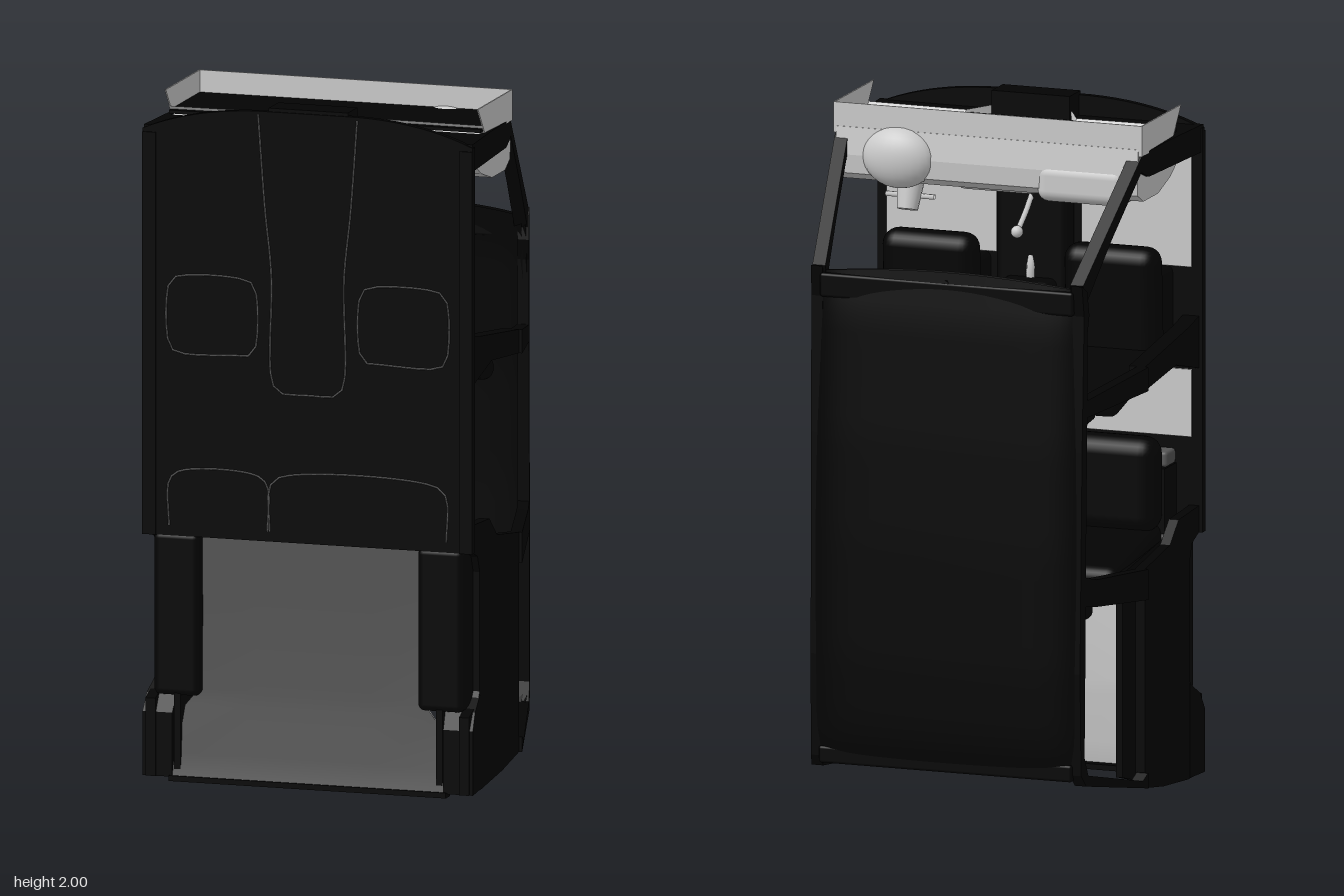
import * as THREE from 'three';
import { RoundedBoxGeometry } from 'three/addons/geometries/RoundedBoxGeometry.js';

const paint = color => new THREE.MeshStandardMaterial({ color, side: THREE.DoubleSide });
const black = paint(0x030303), dark = paint(0x555555), grey = paint(0xcccccc);

export function createModel() {
  const model = new THREE.Group();

  const add = (name, geo, mat = black) => {
    const m = new THREE.Mesh(geo, mat);
    m.name = name;
    model.add(m);
    return m;
  };
  // Box given by its limits, with optional rounding
  const box = (name, x0, x1, y0, y1, z0, z1, mat, r = 0) => {
    const s = [x1 - x0, y1 - y0, z1 - z0];
    const m = add(name, r ? new RoundedBoxGeometry(...s, 3, r) : new THREE.BoxGeometry(...s), mat);
    m.position.set((x0 + x1) / 2, (y0 + y1) / 2, (z0 + z1) / 2);
    return m;
  };
  // Side profile of [z, y] points, thickened inward from x = outer(z)
  const panel = (name, pts, side, outer, thick, mat) => {
    const shape = new THREE.Shape(pts.map(p => new THREE.Vector2(...p)));
    const geo = new THREE.ExtrudeGeometry(shape, { depth: 1, bevelEnabled: false });
    const p = geo.attributes.position;
    for (let i = 0; i < p.count; i++) {
      const z = p.getX(i), t = p.getZ(i);
      p.setXYZ(i, side * (outer(z) - t * thick), p.getY(i), z);
    }
    geo.computeVertexNormals();
    return add(name, geo, mat);
  };
  const rod = (name, pts, r, mat) => add(name, new THREE.TubeGeometry(
    new THREE.CatmullRomCurve3(pts.map(p => new THREE.Vector3(...p)), false, 'centripetal'), 24, r, 6), mat);
  // Piecewise linear lookup
  const lerp = (table, v) => {
    let i = 1;
    while (i < table.length - 1 && v > table[i][0]) i++;
    const [a, b] = [table[i - 1], table[i]];
    return a[1] + (b[1] - a[1]) * (v - a[0]) / (b[0] - a[0]);
  };
  // Narrow a cushion towards its upper (-z) end
  const taper = (mesh, height, amount) => {
    const p = mesh.geometry.attributes.position;
    for (let i = 0; i < p.count; i++)
      p.setX(i, p.getX(i) * (1 - amount * (0.5 - p.getZ(i) / height)));
    return mesh;
  };

  // Roof skin and lining, arched across and along
  const roofLine = [[0.13, -0.365], [0.18, -0.4], [0.25, -0.406], [0.45, -0.41], [0.8, -0.407],
    [1.1, -0.4], [1.45, -0.385], [1.6, -0.37]];
  const roof = (name, lift, w, drop) => {
    const geo = new THREE.PlaneGeometry(2, 1.47, 32, 30);
    const p = geo.attributes.position;
    for (let i = 0; i < p.count; i++) {
      const u = Math.sin(p.getX(i) * Math.PI / 2), y = p.getY(i) + 0.865;
      const front = y > 1.5 ? (y - 1.5) * 0.3 * u * u : 0;
      const z = lerp(roofLine, y) + 0.008 * u * u + drop * Math.pow(Math.abs(u), 9) + lift;
      p.setXYZ(i, -u * w, y - front, z);
    }
    geo.computeVertexNormals();
    add(name, geo);
  };
  roof('roof', 0, 0.418, 0.035);
  roof('roofLining', 0.02, 0.405, 0.015);
  box('windscreenHeader', -0.39, 0.39, 1.5, 1.57, -0.375, -0.353, black, 0.008);
  box('tailgateHeader', -0.39, 0.39, 0.13, 0.18, -0.385, -0.355, black, 0.008);

  // Side structure, mirrored
  const upper = z => 0.5 - 0.08 * Math.max(0, (-0.06 - z) / 0.3);
  const screen = z => 0.472 - 0.055 * (-0.03 - z) / 0.33;
  const lower = () => 0.49;
  for (const s of [-1, 1]) {
    panel('upperSideFrame', [[-0.05, 0.055], [-0.35, 0.115], [-0.375, 0.15], [-0.38, 0.45],
      [-0.37, 1.1], [-0.36, 1.5], [-0.37, 1.59], [-0.345, 1.57], [-0.335, 1.5], [-0.345, 1.44],
      [-0.345, 1.25], [-0.05, 1.295], [-0.05, 1.225], [-0.345, 1.2], [-0.352, 0.73], [-0.3, 0.715],
      [-0.05, 0.7], [-0.05, 0.61], [-0.3, 0.635], [-0.352, 0.645], [-0.358, 0.2], [-0.34, 0.145],
      [-0.08, 0.082], [-0.055, 0.1], [-0.05, 0.1]], s, upper, 0.035);
    panel('windscreenPillar', [[-0.03, 1.91], [-0.2, 1.745], [-0.36, 1.59], [-0.35, 1.525],
      [-0.2, 1.695], [-0.03, 1.865]], s, screen, 0.04);
    panel('cargoSide', [[0.41, 0.012], [0.3, 0.01], [0.1, 0.03], [-0.05, 0.055], [-0.05, 0.7],
      [0.15, 0.73], [0.22, 0.79], [0.41, 0.8], [0.41, 0.73], [0.33, 0.7], [0.31, 0.65],
      [0.31, 0.3], [0.33, 0.27], [0.41, 0.24]], s, lower, 0.03);
    panel('cargoLining', [[0.4, 0.02], [0.1, 0.04], [-0.05, 0.08], [-0.05, 0.68], [0.4, 0.72]],
      s, z => 0.41 + 0.03 * (0.3 - z), 0.02);
    panel('rearCorner', [[0.405, 0.012], [0.405, 0.2], [0.375, 0.25], [0.31, 0.29], [0.31, 0.012]],
      s, z => 0.49 + 0.01 * (z - 0.3) / 0.1, 0.09);
    panel('middlePillarBase', [[0.4, 1.2], [0.4, 1.36], [0.3, 1.34], [-0.05, 1.295],
      [-0.05, 1.225], [0.2, 1.25]], s, lower, 0.05);
    panel('kickPanel', [[0.4, 1.84], [0.4, 1.92], [0.2, 1.92], [-0.03, 1.915], [-0.03, 1.86],
      [0.02, 1.84]], s, z => 0.472 + 0.06 * (z + 0.03), 0.02);
    const X = (a, b) => s > 0 ? [a, b] : [-b, -a];
    box('wheelHouse', ...X(0.33, 0.47), 0.25, 0.73, 0.29, 0.405, black, 0.02);
    box('sill', ...X(0.46, 0.5), 0.72, 1.9, 0.385, 0.41);
    box('floorMat', ...X(0.13, 0.47), 1.5, 1.84, 0.378, 0.383, grey, 0.002);
    box('rearFloorMat', ...X(0.13, 0.47), 1.0, 1.2, 0.378, 0.383, grey, 0.002);

    // Front seat
    const cx = s * 0.28;
    box('frontSeatBase', cx - 0.13, cx + 0.13, 1.22, 1.5, 0.28, 0.4, black, 0.02);
    const cushion = box('frontSeatCushion', cx - 0.145, cx + 0.145, 1.22, 1.58, 0.2, 0.3, black, 0.045);
    cushion.rotation.x = -0.05;
    const back = taper(box('frontSeatBack', cx - 0.145, cx + 0.145, 1.18, 1.25, -0.09, 0.27, black, 0.033), 0.36, 0.1);
    back.rotation.x = -0.27;
    const rest = taper(box('frontHeadrest', cx - 0.073, cx + 0.073, 1.125, 1.18, -0.208, -0.08, black, 0.015), 0.128, 0.2);
    rest.rotation.x = -0.2;
    for (const d of [-0.03, 0.03])
      rod('headrestPost', [[cx + d, 1.18, -0.05], [cx + d, 1.165, -0.11]], 0.006);
    box('rearHeadrest', ...X(0.18, 0.33), 0.54, 0.605, -0.11, -0.035, black, 0.025);

    // Seams on the underside around the seat well and tunnel
    const seam = pts => rod('floorSeam', pts.map(([x, y]) => [s * x, y, 0.404]), 0.003, dark);
    seam([[0.18, 1.26], [0.4, 1.26], [0.42, 1.28], [0.42, 1.46], [0.4, 1.48], [0.18, 1.48],
      [0.16, 1.46], [0.16, 1.28], [0.18, 1.26]]);
    seam([[0.15, 1.97], [0.13, 1.7], [0.11, 1.5], [0.11, 1.2], [0.09, 1.16], [0, 1.155]]);
  }

  // Split rear bench
  for (const [a, b] of [[-0.42, -0.122], [-0.115, 0.42]]) {
    box('rearSeatCushion', a, b, 0.74, 1.02, 0.2, 0.31, black, 0.05);
    const rb = box('rearSeatBack', a + 0.01, b - 0.01, 0.64, 0.73, -0.075, 0.32, black, 0.035);
    rb.rotation.x = -0.2;
    rod('benchSeam', [[a, 0.75], [a, 0.88], [a + 0.03, 0.91], [b - 0.03, 0.91], [b, 0.88], [b, 0.75]]
      .map(([x, y]) => [x, y, 0.404]), 0.003, dark);
  }
  box('rearSeatPlinth', -0.42, 0.42, 0.73, 0.92, 0.29, 0.39);
  box('heelBoard', -0.42, 0.42, 0.92, 0.965, 0.31, 0.385, dark, 0.01);

  // Floor pan with a bowed front edge
  const pan = new THREE.Shape();
  pan.moveTo(-0.5, 0.72);
  pan.lineTo(0.5, 0.72);
  pan.lineTo(0.5, 1.91);
  pan.quadraticCurveTo(0.35, 1.975, 0.15, 1.98);
  pan.lineTo(-0.15, 1.98);
  pan.quadraticCurveTo(-0.35, 1.975, -0.5, 1.91);
  const panGeo = new THREE.ExtrudeGeometry(pan, { depth: 0.02, bevelEnabled: false, curveSegments: 10 });
  panGeo.translate(0, 0, 0.385);
  add('floor', panGeo);
  box('toeBoard', -0.48, 0.48, 1.85, 1.92, 0.24, 0.39);
  box('tunnel', -0.11, 0.11, 1.15, 1.85, 0.31, 0.39, black, 0.02);
  box('centreConsole', -0.08, 0.08, 1.2, 1.45, 0.24, 0.34, black, 0.02);
  box('bulkheadCentre', -0.12, 0.12, 1.85, 1.99, 0.31, 0.4);

  // Cargo floor, widening towards the rear lip, with a pale lining inside
  const rows = [[0.72, 0.34, 0.37], [0.5, 0.34, 0.368], [0.27, 0.34, 0.37], [0.22, 0.38, 0.38],
    [0.08, 0.4, 0.39], [0.012, 0.425, 0.405]];
  const cargoSheet = (name, lift, mat) => {
    const geo = new THREE.PlaneGeometry(2, 1, 4, rows.length - 1);
    const p = geo.attributes.position;
    for (let i = 0; i < p.count; i++) {
      const [y, w, z] = rows[Math.floor(i / 5)];
      p.setXYZ(i, p.getX(i) * w, y, z + lift);
    }
    geo.computeVertexNormals();
    add(name, geo, mat);
  };
  cargoSheet('cargoFloor', 0, dark);
  cargoSheet('cargoFloorLining', -0.005, grey);
  box('rearSill', -0.42, 0.42, 0, 0.016, 0.37, 0.41);

  // Dashboard body
  panel('dashboard', [[-0.04, 1.93], [-0.05, 1.85], [-0.045, 1.795], [0, 1.77], [0.12, 1.77],
    [0.22, 1.8], [0.29, 1.84], [0.24, 1.92]], -1, () => 0.465, 0.93, grey);
  box('bulkhead', -0.472, 0.472, 1.925, 1.935, -0.035, 0.25);
  box('centreStack', -0.13, 0.13, 1.755, 1.86, 0.02, 0.32, grey, 0.03);
  box('passengerDash', -0.43, -0.15, 1.755, 1.87, -0.055, 0.12, grey, 0.035);
  const hood = add('instrumentHood', new THREE.SphereGeometry(1, 24, 16), grey);
  hood.scale.set(0.11, 0.09, 0.06);
  hood.position.set(0.275, 1.85, -0.032);
  const column = add('steeringColumn', new THREE.CylinderGeometry(0.045, 0.03, 0.12, 16), grey);
  column.position.set(0.275, 1.74, 0.055);
  column.rotation.x = 0.3;
  rod('columnStalk', [[0.2, 1.72, 0.06], [0.35, 1.72, 0.06]], 0.008, grey);

  // Rim ahead of the dashboard: tall behind, raked at the ends, low along the front
  for (const s of [-1, 1])
    panel('dashRimEnd', [[-0.035, 1.91], [-0.035, 2], [0.28, 2], [0.21, 1.91]], s, () => 0.475, 0.004, grey);
  box('dashRimBack', -0.475, 0.475, 1.91, 2, -0.038, -0.034, grey);
  const rim = [[-0.475, 0.24], [-0.17, 0.235], [-0.11, 0.345], [-0.05, 0.37],
    [0.05, 0.37], [0.11, 0.345], [0.17, 0.235], [0.475, 0.24]];
  rim.slice(1).forEach(([x2, z2], i) => {
    const [x, z] = rim[i];
    const inner = v => v < 0.3 ? v - 0.03 : v;
    const g = new THREE.PlaneGeometry(1, 1);
    [[x, 1.945, z], [x2, 1.945, z2], [x, 1.91, inner(z)], [x2, 1.91, inner(z2)]]
      .forEach((v, k) => g.attributes.position.setXYZ(k, ...v));
    g.computeVertexNormals();
    add('dashRimFront', g, grey);
  });

  // Controls
  rod('gearLever', [[0, 1.7, 0.33], [0, 1.65, 0.27], [0, 1.61, 0.21]], 0.009, grey);
  const knob = add('gearKnob', new THREE.SphereGeometry(0.018, 14, 10), grey);
  knob.position.set(0, 1.605, 0.2);
  rod('handbrake', [[0, 1.53, 0.33], [0, 1.48, 0.31], [0, 1.39, 0.31]], 0.013, grey);
  for (const [i, x] of [0.2, 0.27, 0.34].entries()) {
    rod('pedalArm', [[x, 1.85, 0.2], [x, 1.82, 0.28], [x, 1.78, 0.32]], 0.007, grey);
    box('pedal', x - 0.02, x + 0.02, 1.765, 1.78, 0.29, i ? 0.33 : 0.36, grey, 0.005);
  }

  // Interior mirror
  box('mirror', -0.067, 0.067, 1.54, 1.565, -0.345, -0.303, grey, 0.012);
  rod('mirrorStem', [[0, 1.57, -0.375], [0, 1.575, -0.35], [0, 1.56, -0.32]], 0.007);

  return model;
}
